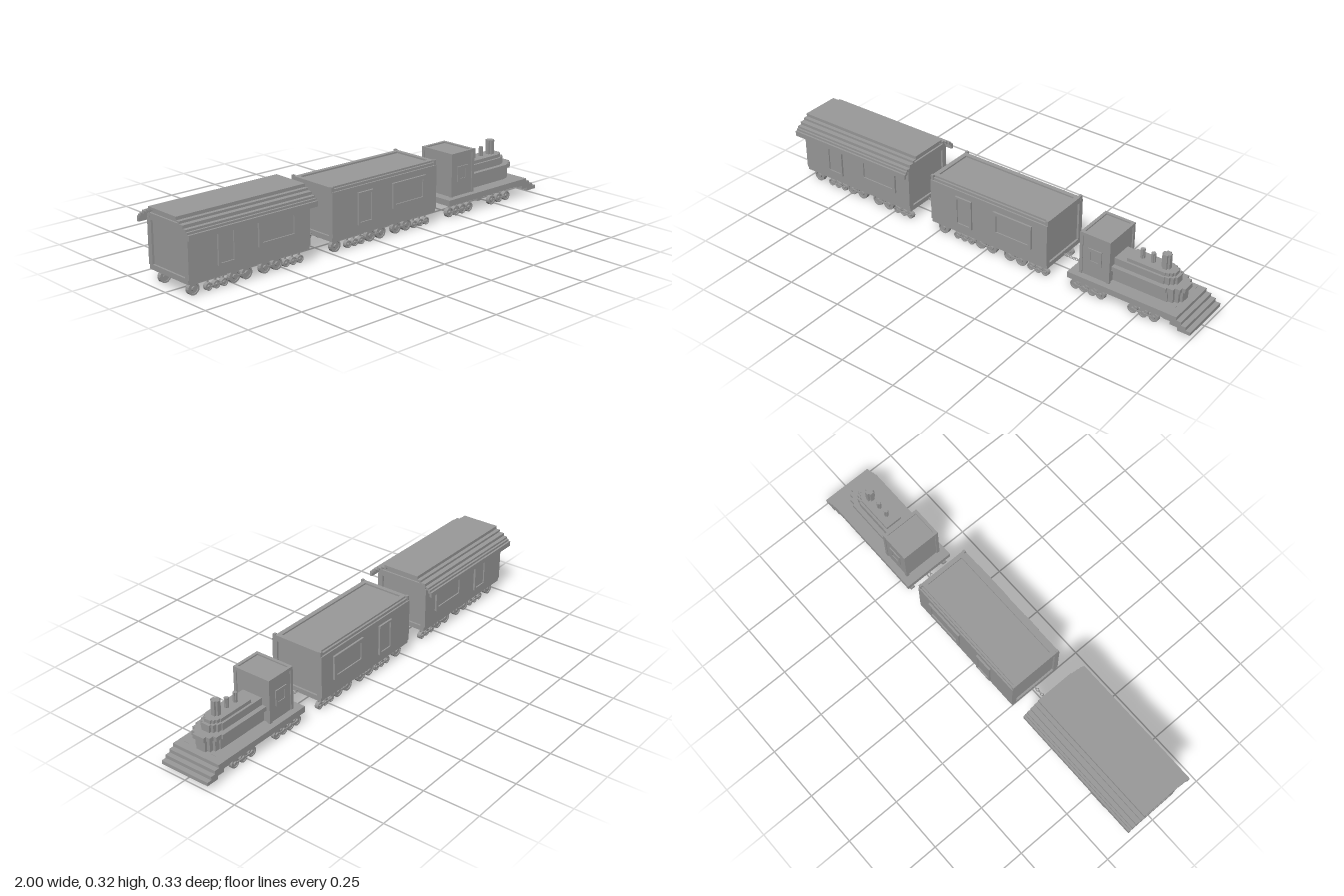
import * as THREE from 'three';

const material = new THREE.MeshStandardMaterial({ color: 0x999999, flatShading: true });

function add(parent, name, geometry) {
  const mesh = new THREE.Mesh(geometry, material);
  mesh.name = name;
  parent.add(mesh);
  return mesh;
}

// Box given by its limits on each axis
function box(parent, name, x0, x1, y0, y1, z0, z1) {
  const g = new THREE.BoxGeometry(x1 - x0, y1 - y0, z1 - z0);
  return add(parent, name, g.translate((x0 + x1) / 2, (y0 + y1) / 2, (z0 + z1) / 2));
}

// Closed shape from the right half of a symmetric outline, listed bottom to top
function mirroredShape(half) {
  const left = half.map(([a, b]) => [-a, b]).reverse();
  return new THREE.Shape([...half, ...left].map(([a, b]) => new THREE.Vector2(a, b)));
}

function rectangle(a0, a1, b0, b1) {
  return [[a0, b0], [a1, b0], [a1, b1], [a0, b1]].map(([a, b]) => new THREE.Vector2(a, b));
}

// Cross-section in (z, y) swept along x
function sweepX(parent, name, shape, x0, x1) {
  const g = new THREE.ExtrudeGeometry(shape, { depth: x1 - x0, bevelEnabled: false });
  return add(parent, name, g.rotateY(Math.PI / 2).translate(x0, 0, 0));
}

// Rectangular frame with a thinner panel inside, on both long sides
function sideFrame(parent, name, x0, x1, y0, y1, z, out, border) {
  const shape = new THREE.Shape(rectangle(x0, x1, y0, y1));
  shape.holes.push(new THREE.Path(rectangle(x0 + border, x1 - border, y0 + border, y1 - border)));
  for (const side of [1, -1]) {
    const g = new THREE.ExtrudeGeometry(shape, { depth: out, bevelEnabled: false });
    add(parent, name, g.translate(0, 0, side > 0 ? z : -z - out));
    const [a, b] = [side * (z - 0.004), side * (z + out * 0.35)].sort((p, q) => p - q);
    box(parent, name + 'Panel', x0 + border, x1 - border, y0 + border, y1 - border, a, b);
  }
}

// Wheels with a raised rim and hub on both faces, along both sides
function wheels(parent, name, xs, r) {
  const profile = [[0, -0.009], [r * 0.35, -0.009], [r * 0.35, -0.005], [r * 0.74, -0.005], [r * 0.74, -0.009],
    [r, -0.009], [r, 0.009], [r * 0.74, 0.009], [r * 0.74, 0.005], [r * 0.35, 0.005], [r * 0.35, 0.012],
    [0, 0.012]].map(([a, b]) => new THREE.Vector2(a, b));
  for (const x of xs) {
    for (const side of [1, -1]) {
      const wheel = add(parent, name, new THREE.LatheGeometry(profile, 16));
      wheel.rotation.x = side * Math.PI / 2;
      wheel.position.set(x, r + 0.004, side * 0.09);
    }
  }
}

// Thin posts carrying the wheels
function hangers(parent, xs, y) {
  for (const x of xs) {
    for (const z of [0.088, -0.088]) box(parent, 'wheelHanger', x - 0.003, x + 0.003, y, 0.066, z - 0.003, z + 0.003);
  }
}

// Coupling rods joining a row of wheels
function rods(parent, x0, x1, y) {
  for (const z of [0.1, -0.1]) box(parent, 'couplingRod', x0, x1, y - 0.003, y + 0.003, z - 0.002, z + 0.002);
}

function chain(parent, x0, x1) {
  const n = Math.round((x1 - x0) / 0.0135);
  for (let i = 0; i < n; i++) {
    const g = new THREE.TorusGeometry(0.0055, 0.0018, 6, 10).scale(1.5, 1, 1);
    const link = add(parent, 'chainLink', g);
    link.position.set(x0 + (i + 0.5) * (x1 - x0) / n, 0.068, 0);
    link.rotation.x = i % 2 ? Math.PI / 2 : 0;
  }
}

// Railway carriage centred on x = 0
function carriage(name) {
  const car = new THREE.Group();
  car.name = name;
  const L = 0.298;
  const section = [[0.123, 0.062], [0.123, 0.08], [0.128, 0.08], [0.128, 0.272],
    [0.121, 0.272], [0.121, 0.283], [0.112, 0.283], [0.112, 0.291]];
  const frame = mirroredShape(section);
  frame.holes.push(new THREE.Path(rectangle(-0.104, 0.104, 0.084, 0.264)));
  sweepX(car, 'body', mirroredShape([...section.slice(0, 7), [0.112, 0.284]]), -L + 0.009, L - 0.009);
  sweepX(car, 'endFrame', frame, -L, -L + 0.02);
  sweepX(car, 'endFrame', frame, L - 0.02, L);
  for (const s of [1, -1]) {
    box(car, 'roofRim', -L + 0.02, L - 0.02, 0.283, 0.291, s * 0.102 - 0.01, s * 0.102 + 0.01);
    for (const e of [1, -1]) {
      const x = e * (L - 0.005), z = s * 0.118;
      box(car, 'cornerPost', x - 0.006, x + 0.006, 0.27, 0.294, z - 0.006, z + 0.006);
    }
  }
  sideFrame(car, 'door', -0.163, -0.079, 0.107, 0.245, 0.128, 0.009, 0.01);
  sideFrame(car, 'window', 0.033, 0.225, 0.135, 0.245, 0.128, 0.009, 0.016);
  const small = [-0.184, -0.147, -0.11, 0.199, 0.236, 0.271];
  wheels(car, 'largeWheel', [-0.256, -0.061, -0.001, 0.09, 0.15], 0.0265);
  wheels(car, 'smallWheel', small, 0.0165);
  hangers(car, small, 0.021);
  rods(car, -0.061, -0.001, 0.031);
  rods(car, 0.09, 0.15, 0.031);
  rods(car, -0.184, -0.11, 0.021);
  rods(car, 0.199, 0.271, 0.021);
  return car;
}

// Flat layer of the engine with a stepped, rounded nose
function nosedLayer(parent, name, x0, x1, hw, y0, y1) {
  const half = [[hw, x0], [hw, x1 - hw * 0.9], [hw * 0.88, x1 - hw * 0.9], [hw * 0.88, x1 - hw * 0.5],
    [hw * 0.66, x1 - hw * 0.5], [hw * 0.66, x1 - hw * 0.2], [hw * 0.4, x1 - hw * 0.2], [hw * 0.4, x1]];
  const g = new THREE.ExtrudeGeometry(mirroredShape(half), { depth: y1 - y0, bevelEnabled: false });
  g.rotateY(Math.PI / 2).rotateZ(-Math.PI / 2).rotateX(Math.PI);
  return add(parent, name, g.translate(0, y0, 0));
}

function locomotive() {
  const engine = new THREE.Group();
  engine.name = 'locomotive';
  box(engine, 'chassis', 0.427, 0.9, 0.062, 0.089, -0.118, 0.118);
  // Sloping front guard in steps
  for (let i = 0; i < 4; i++) {
    const top = 0.0885 - i * 0.0148;
    box(engine, 'frontGuardStep', 0.84 + i * 0.034, 0.935 + i * 0.0217, top - 0.0155, top, -0.118, 0.118);
  }
  box(engine, 'underFrame', 0.65, 0.676, 0.032, 0.064, -0.08, 0.08);

  // Cab with raised edges around every face
  const cab = new THREE.Group();
  cab.name = 'cab';
  engine.add(cab);
  const [x0, x1, y0, y1, w, t] = [0.466, 0.609, 0.088, 0.286, 0.092, 0.014];
  box(cab, 'cabBody', x0 + 0.005, x1 - 0.005, y0, y1 - 0.006, -w + 0.004, w - 0.004);
  for (const s of [1, -1]) {
    const z = [s * w, s * (w - t)].sort((a, b) => a - b);
    box(cab, 'cabRoofEdge', x0, x1, y1 - t, y1, ...z);
    for (const [a, b] of [[x0, x0 + t], [x1 - t, x1]]) box(cab, 'cabPost', a, b, y0, y1 - t, ...z);
  }
  for (const [a, b] of [[x0, x0 + t], [x1 - t, x1]]) box(cab, 'cabRoofEdge', a, b, y1 - t, y1, -w + t, w - t);
  sideFrame(cab, 'cabWindow', 0.505, 0.57, 0.152, 0.222, w - 0.004, 0.005, 0.014);

  // Boiler layers
  nosedLayer(engine, 'boilerBase', 0.6, 0.905, 0.056, 0.088, 0.145);
  nosedLayer(engine, 'walkway', 0.6, 0.917, 0.07, 0.14, 0.16);
  nosedLayer(engine, 'boiler', 0.6, 0.875, 0.049, 0.158, 0.192);
  nosedLayer(engine, 'boilerTop', 0.655, 0.863, 0.039, 0.19, 0.207);

  // Chimneys with a cross-shaped section
  for (const [x, r, top] of [[0.703, 0.009, 0.25], [0.752, 0.009, 0.25], [0.812, 0.018, 0.272]]) {
    box(engine, 'chimney', x - r, x + r, 0.2, top, -r / 2, r / 2);
    box(engine, 'chimney', x - r / 2, x + r / 2, 0.2, top, -r, r);
  }

  const axles = [0.452, 0.493, 0.534, 0.575, 0.725, 0.774, 0.823];
  wheels(engine, 'engineWheel', axles, 0.0215);
  hangers(engine, axles, 0.026);
  rods(engine, 0.452, 0.575, 0.026);
  rods(engine, 0.725, 0.823, 0.026);
  return engine;
}

export function createModel() {
  const train = new THREE.Group();
  train.name = 'train';
  train.add(locomotive());

  const middle = carriage('middleCarriage');
  middle.position.x = 0.034;
  const rear = carriage('rearCarriage');
  rear.position.x = -0.682;
  train.add(middle, rear);

  // Gable fill and stepped overhanging roof of the rear carriage
  sweepX(rear, 'gable', mirroredShape([[0.112, 0.28], [0.112, 0.3], [0.095, 0.3], [0.095, 0.309],
    [0.08, 0.309], [0.08, 0.318]]), -0.29, 0.29);
  sweepX(rear, 'steppedRoof', mirroredShape([[0.078, 0.316], [0.078, 0.308], [0.098, 0.308], [0.098, 0.299],
    [0.117, 0.299], [0.117, 0.288], [0.137, 0.288], [0.137, 0.276], [0.147, 0.276], [0.147, 0.264],
    [0.155, 0.264], [0.155, 0.248], [0.165, 0.248], [0.165, 0.271], [0.156, 0.271], [0.156, 0.28],
    [0.147, 0.28], [0.147, 0.289], [0.129, 0.289], [0.129, 0.302], [0.106, 0.302], [0.106, 0.312],
    [0.088, 0.312], [0.088, 0.326]]), -0.318, 0.308);

  chain(train, -0.386, -0.262);
  chain(train, 0.33, 0.43);
  return train;
}
